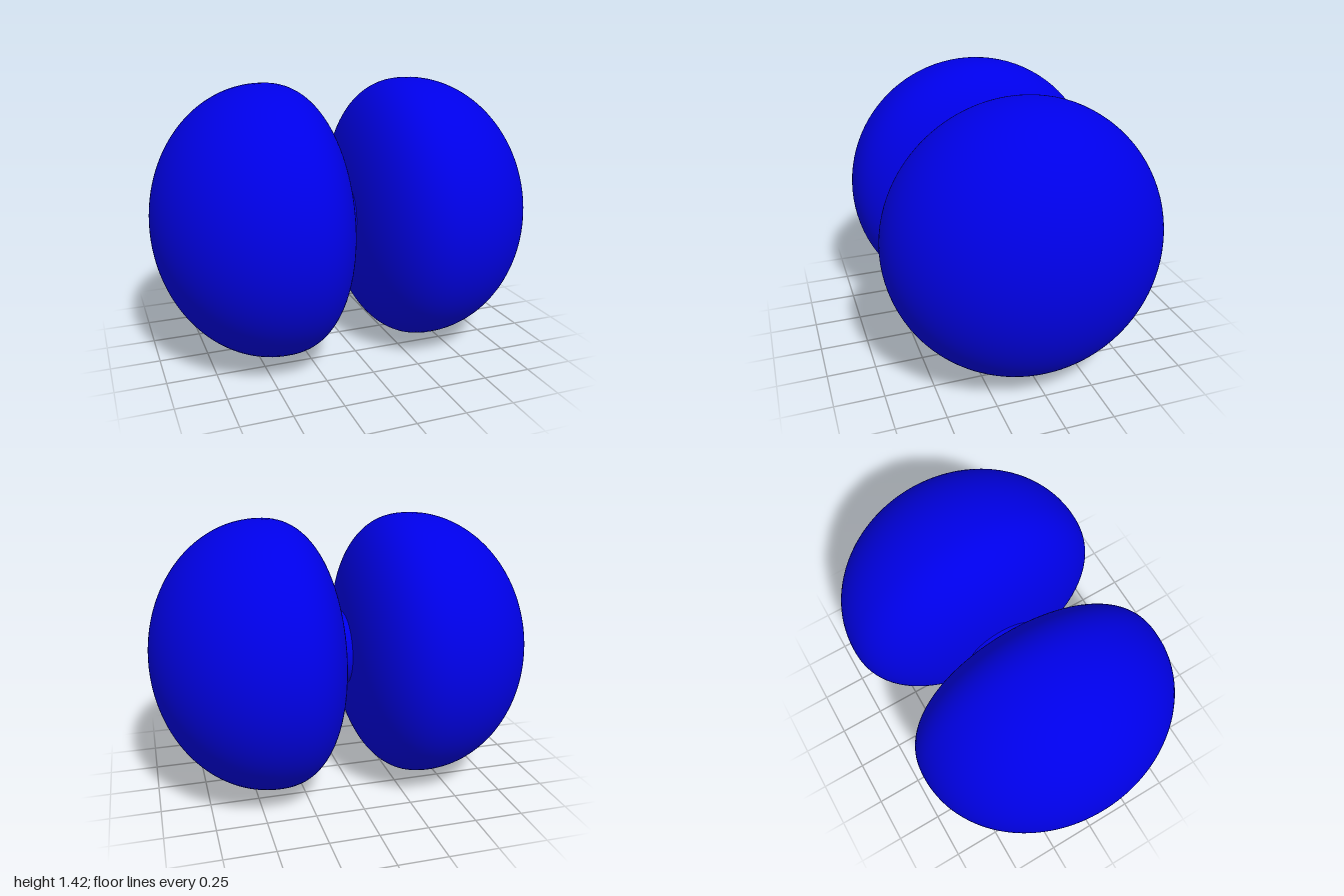
import * as THREE from 'three';

const CENTER_Y = 0.708; // height of the shared axis
const RADIUS = 0.708;   // widest radius of each half
const RIM = 0.405;      // distance of the widest ring from the middle
const INNER = 0.017;    // inner face
const OUTER = 1.0;      // outer tip

// Half profile: a full, flattened inner curve and an elliptical outer curve.
function halfProfile() {
  const points = [];
  const steps = 80;
  for (let i = 0; i <= steps; i++) {
    const t = -Math.PI / 2 + (Math.PI * i) / steps;
    const s = Math.sin(t);
    const c = Math.max(0, Math.cos(t));
    const power = s < 0 ? 2 / 2.4 : 1;
    const reach = s < 0 ? RIM - INNER : OUTER - RIM;
    const along = RIM + Math.sign(s) * reach * Math.pow(Math.abs(s), power);
    const r = i === 0 || i === steps ? 0 : RADIUS * Math.pow(c, power);
    points.push(new THREE.Vector2(r, along));
  }
  return points;
}

export function createModel() {
  const group = new THREE.Group();
  group.name = 'yoyo';

  const blue = new THREE.MeshStandardMaterial({ color: 0x0000ea });
  blue.name = 'blue';

  // Two mirrored rounded halves
  const halfGeometry = new THREE.LatheGeometry(halfProfile(), 96);
  for (const side of [1, -1]) {
    const half = new THREE.Mesh(halfGeometry, blue);
    half.name = side > 0 ? 'leftHalf' : 'rightHalf';
    half.rotation.z = (-side * Math.PI) / 2;
    half.position.y = CENTER_Y;
    group.add(half);
  }

  // Short axle joining the halves
  const axle = new THREE.Mesh(new THREE.CylinderGeometry(0.197, 0.197, 0.06, 64, 1, true), blue);
  axle.name = 'axle';
  axle.rotation.z = Math.PI / 2;
  axle.position.y = CENTER_Y;
  group.add(axle);

  return group;
}
